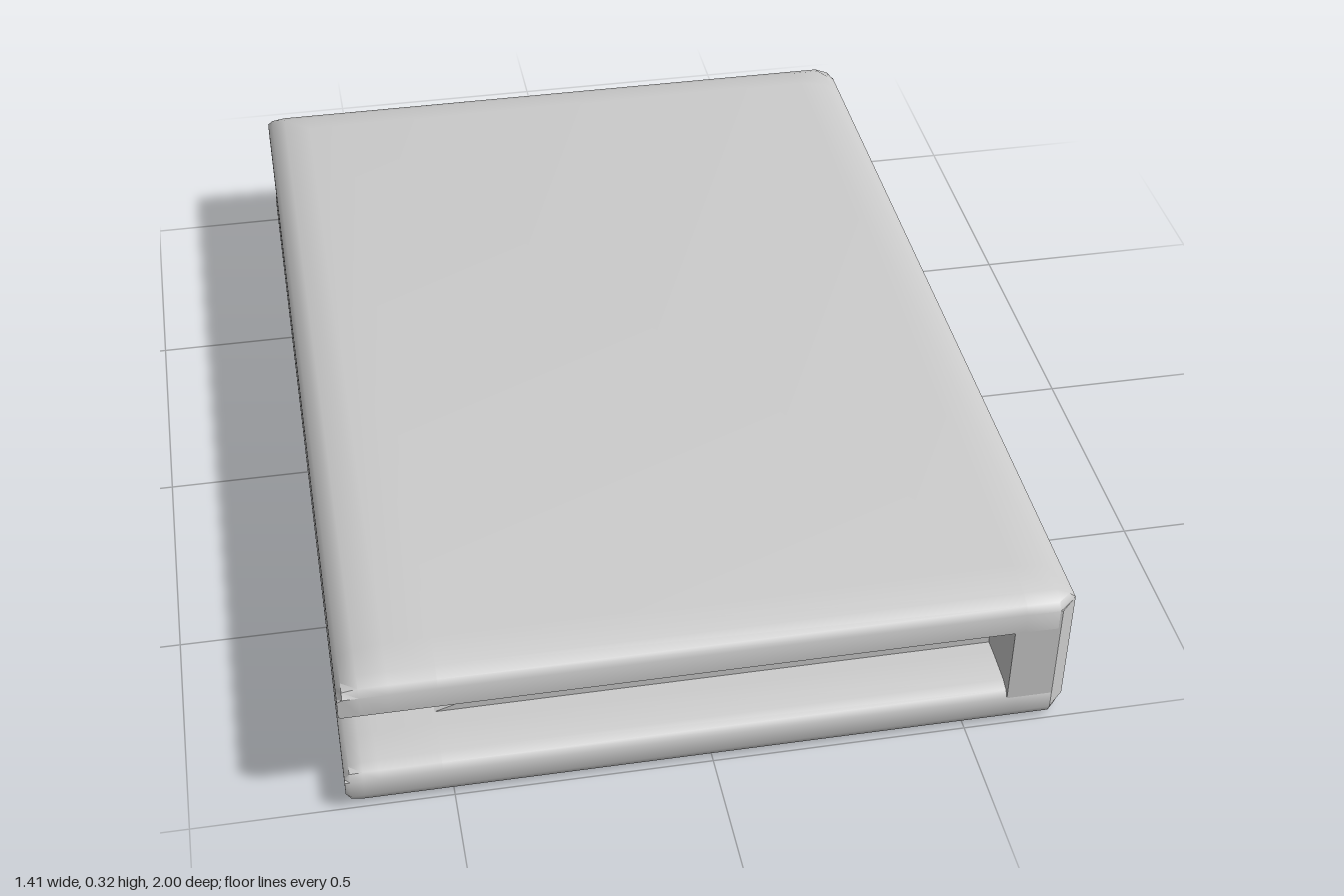
import * as THREE from 'three';
import { toCreasedNormals } from 'three/addons/utils/BufferGeometryUtils.js';

const material = new THREE.MeshStandardMaterial({ color: 0xcccccc });

function addMesh(group, name, geometry) {
  const mesh = new THREE.Mesh(toCreasedNormals(geometry, 0.7), material);
  mesh.name = name;
  group.add(mesh);
}

// Cover board lofted along x from cross-sections with rounded long edges.
// top / bottom: [half width, y] edge profiles, outermost point first.
// stations: [x, highest y, lowest y, half width]
function coverGeometry(top, bottom, stations) {
  const loop = [
    ...top.map(([z, y]) => [-z, y, 1]),
    ...[...top].reverse().map(([z, y]) => [z, y, 1]),
    ...bottom.map(([z, y]) => [z, y, 0]),
    ...[...bottom].reverse().map(([z, y]) => [-z, y, 0]),
  ];
  const n = loop.length, positions = [], index = [];
  for (const [x, high, low, w] of stations) {
    for (const [z, y, isTop] of loop) {
      positions.push(x, isTop ? Math.min(y, high) : Math.max(y, low), z * w);
    }
  }
  const last = (stations.length - 1) * n;
  for (let s = 0; s < last; s += n) {
    for (let j = 0; j < n; j++) {
      const k = (j + 1) % n;
      index.push(s + j, s + k, s + n + k, s + j, s + n + k, s + n + j);
    }
  }
  for (let j = 1; j < n - 1; j++) {
    index.push(last, last + j, last + j + 1, 0, j + 1, j);
  }
  const geometry = new THREE.BufferGeometry();
  geometry.setAttribute('position', new THREE.Float32BufferAttribute(positions, 3));
  geometry.setIndex(index);
  return geometry;
}

// Extrude a polygon, centred along its depth
function prism(points, depth) {
  const shape = new THREE.Shape(points.map(([x, y]) => new THREE.Vector2(x, y)));
  return new THREE.ExtrudeGeometry(shape, { depth, bevelEnabled: false }).translate(0, 0, -depth / 2);
}

export function createModel() {
  const book = new THREE.Group();
  book.name = 'book';

  // Upper board
  addMesh(book, 'topCover', coverGeometry(
    [[1, 0.285], [0.99, 0.3], [0.965, 0.31], [0.9, 0.32]],
    [[1, 0.24], [0.99, 0.23], [0.96, 0.222], [0.88, 0.216]],
    [[-0.705, 0.28, 0.242, 1], [-0.695, 0.295, 0.231, 1], [-0.665, 0.311, 0.224, 1],
      [-0.61, 0.32, 0.221, 1], [-0.52, 0.32, 0.216, 1], [0.6, 0.32, 0.216, 1],
      [0.665, 0.31, 0.216, 1], [0.69, 0.3, 0.216, 0.98], [0.705, 0.285, 0.216, 0.966]]));

  // Lower board
  addMesh(book, 'bottomCover', coverGeometry(
    [[1, 0.068], [0.99, 0.081], [0.97, 0.089], [0.9, 0.095]],
    [[1, 0.03], [0.993, 0.014], [0.98, 0.005], [0.96, 0]],
    [[-0.705, 0.068, 0.04, 1], [-0.695, 0.08, 0.018, 1], [-0.67, 0.088, 0.004, 1],
      [-0.64, 0.091, 0, 1], [-0.52, 0.095, 0, 1], [0.6, 0.095, 0, 1],
      [0.67, 0.095, 0, 1], [0.69, 0.095, 0.007, 0.98], [0.705, 0.095, 0.025, 0.966]]));

  // Spine with chamfered vertical corners
  const spine = prism([
    [0.58, -1], [0.67, -1], [0.705, -0.966], [0.705, 0.966], [0.67, 1], [0.58, 1],
  ], 0.25);
  addMesh(book, 'spine', spine.rotateX(Math.PI / 2).translate(0, 0.16, 0));

  // Recessed page block with a V-shaped fore edge
  addMesh(book, 'pages', prism([
    [0.6, 0.085], [0.6, 0.225], [-0.52, 0.225], [-0.52, 0.216],
    [-0.335, 0.156], [-0.52, 0.095], [-0.52, 0.085],
  ], 1.74));

  return book;
}
